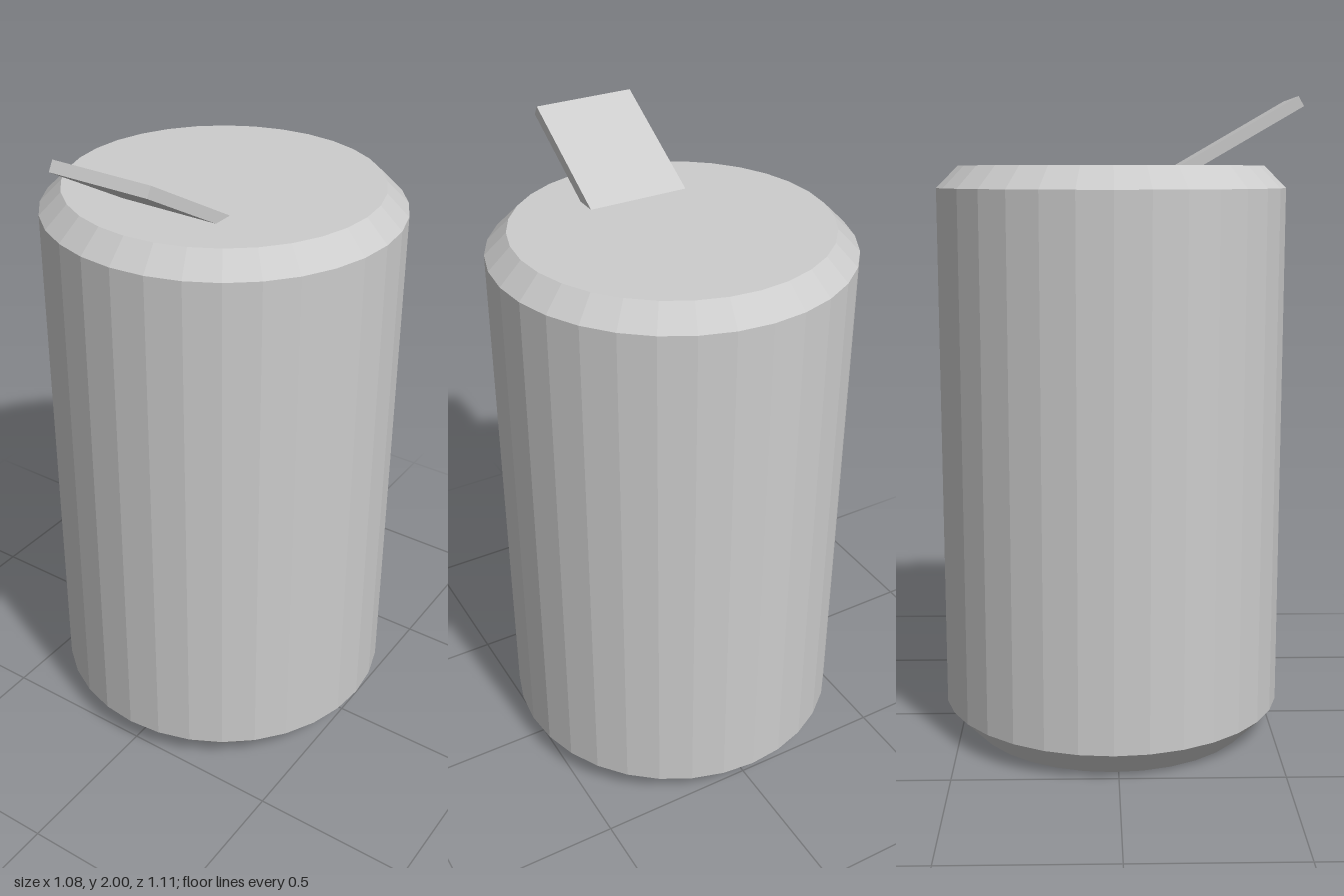
import * as THREE from 'three';

export function createModel() {
  const model = new THREE.Group();
  const metal = new THREE.MeshStandardMaterial({ color: 0xcccccc, flatShading: true });
  metal.name = 'grey metal';

  // Can body: closed profile with tapered base and shoulder
  const profile = [
    [0, 0], [0.455, 0], [0.542, 0.09], [0.542, 1.73], [0.475, 1.797], [0, 1.797],
  ].map(([r, y]) => new THREE.Vector2(r, y));
  const body = new THREE.Mesh(new THREE.LatheGeometry(profile, 32), metal);
  body.name = 'canBody';
  body.position.z = -0.015;
  model.add(body);

  // Pull tab: thin plate raised 30 degrees, hinged just inside the lid
  const length = 0.45, thickness = 0.034;
  const tabGeometry = new THREE.BoxGeometry(0.32, thickness, length);
  tabGeometry.translate(0, 0, -length / 2);
  const tab = new THREE.Mesh(tabGeometry, metal);
  tab.name = 'pullTab';
  tab.rotation.x = -Math.PI / 6;
  tab.position.set(-0.002, 1.985, 0.548);
  model.add(tab);

  return model;
}
